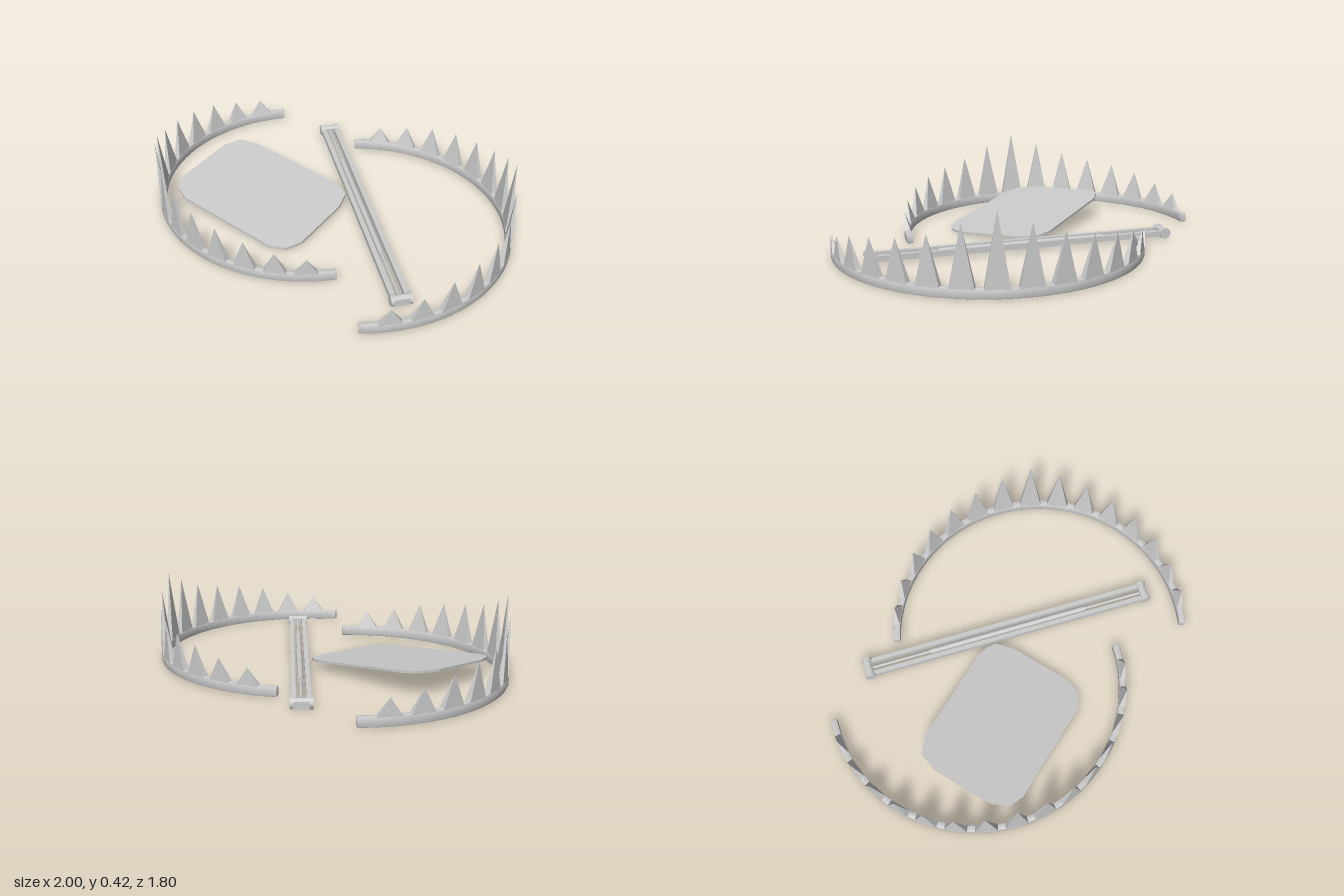
import * as THREE from 'three';
import { toCreasedNormals } from 'three/addons/utils/BufferGeometryUtils.js';

const steel = new THREE.MeshStandardMaterial({ color: 0xcccccc });

function add(parent, name, geometry, x = 0, y = 0, z = 0) {
  const mesh = new THREE.Mesh(geometry, steel);
  mesh.name = name;
  mesh.position.set(x, y, z);
  parent.add(mesh);
  return mesh;
}

// Half ring lying flat, with softly bevelled edges
function jawRailGeometry(inner, outer, bottom, top) {
  const b = 0.006;
  const shape = new THREE.Shape();
  shape.absarc(0, 0, outer - b, -Math.PI / 2, Math.PI / 2, false);
  shape.absarc(0, 0, inner + b, Math.PI / 2, -Math.PI / 2, true);
  const geo = new THREE.ExtrudeGeometry(shape, {
    depth: top - bottom - 2 * b, bevelSize: b, bevelThickness: b, bevelSegments: 2, curveSegments: 48,
  });
  geo.rotateX(-Math.PI / 2).translate(0, bottom + b, 0);
  return toCreasedNormals(geo, 0.6);
}

// Four-sided spike whose tip leans to the outer face (+x)
function toothGeometry(depth, height, width) {
  const geo = new THREE.ConeGeometry(Math.SQRT1_2, 1, 4, 1, true).rotateY(Math.PI / 4).toNonIndexed();
  geo.scale(depth, height, width).translate(0, height / 2, 0);
  const p = geo.attributes.position;
  for (let i = 0; i < p.count; i++) {
    if (p.getY(i) > height * 0.9) p.setX(i, depth * 0.42);
  }
  geo.computeVertexNormals();
  return geo;
}

function makeJaw(name, x, z, facing) {
  const jaw = new THREE.Group();
  jaw.name = name;
  const inner = 0.781, outer = 0.816, base = 0.05;
  add(jaw, 'jawRail', jawRailGeometry(inner, outer, 0.005, 0.056));
  // Tip heights from the middle tooth towards each end
  const tips = [0.42, 0.358, 0.3, 0.265, 0.24, 0.212, 0.172, 0.142];
  const mid = (inner + outer) / 2;
  for (let i = -7; i <= 7; i++) {
    const a = THREE.MathUtils.degToRad(i * 11.4);
    const tooth = add(jaw, 'tooth', toothGeometry(outer - inner - 0.002, tips[Math.abs(i)] - base, 0.122),
      mid * Math.cos(a), base, mid * Math.sin(a));
    tooth.rotation.y = -a;
  }
  jaw.position.set(x, 0, z);
  jaw.rotation.y = -facing;
  return jaw;
}

// Thin plate with cut corners, leaning on one corner
function makePan() {
  const outline = [
    [-0.647, -0.374], [-0.545, -0.374], [-0.02, -0.193], [0.027, -0.16], [0.059, -0.118],
    [0.053, -0.016], [-0.064, 0.316], [-0.128, 0.385], [-0.219, 0.396], [-0.76, 0.198],
    [-0.83, 0.134], [-0.834, 0.027], [-0.717, -0.294],
  ];
  const shape = new THREE.Shape(outline.map(([x, z]) => new THREE.Vector2(x, -z)));
  const geo = new THREE.ExtrudeGeometry(shape, { depth: 0.013, bevelEnabled: false });
  geo.rotateX(-Math.PI / 2);
  const p = geo.attributes.position;
  for (let i = 0; i < p.count; i++) {
    p.setY(i, p.getY(i) + 0.028 - 0.086 * p.getX(i) - 0.099 * p.getZ(i));
  }
  geo.computeVertexNormals();
  const pan = new THREE.Mesh(geo, steel);
  pan.name = 'triggerPan';
  return pan;
}

// Crossbar: two long rails, a sleeved centre rod and a clamp at each end
function makeCrossbar() {
  const bar = new THREE.Group();
  bar.name = 'crossbar';
  for (const s of [-1, 1]) {
    add(bar, 'rail', new THREE.BoxGeometry(0.024, 0.03, 1.58), s * 0.037, 0.031, 0);

    const end = new THREE.Group();
    end.name = 'endClamp';
    end.position.set(0, 0.033, s * 0.8);
    add(end, 'clampBlock', new THREE.BoxGeometry(0.1, 0.036, 0.045), 0, -0.004, 0);
    const pin = (r, l) => new THREE.CylinderGeometry(r, r, l, 16).rotateZ(Math.PI / 2);
    add(end, 'clampPin', pin(0.023, 0.1), 0, 0.003, 0);
    for (const t of [-1, 1]) add(end, 'clampLug', pin(0.029, 0.018), t * 0.046, 0, 0);
    bar.add(end);
  }
  add(bar, 'centreRod', new THREE.CylinderGeometry(0.008, 0.008, 1.58, 12).rotateX(Math.PI / 2), 0, 0.031, 0);
  add(bar, 'centreSleeve', new THREE.CylinderGeometry(0.015, 0.015, 0.9, 16).rotateX(Math.PI / 2), 0, 0.031, 0);
  bar.position.set(0.16, 0, -0.07);
  bar.rotation.y = 0.486;
  return bar;
}

export function createModel() {
  const model = new THREE.Group();
  model.name = 'jawTrap';
  const deg = THREE.MathUtils.degToRad;
  model.add(
    makeJaw('rightJaw', -0.185, -0.175, deg(153.1)),
    makeJaw('leftJaw', 0.185, 0.108, deg(-14.8)),
    makePan(),
    makeCrossbar(),
  );
  return model;
}
